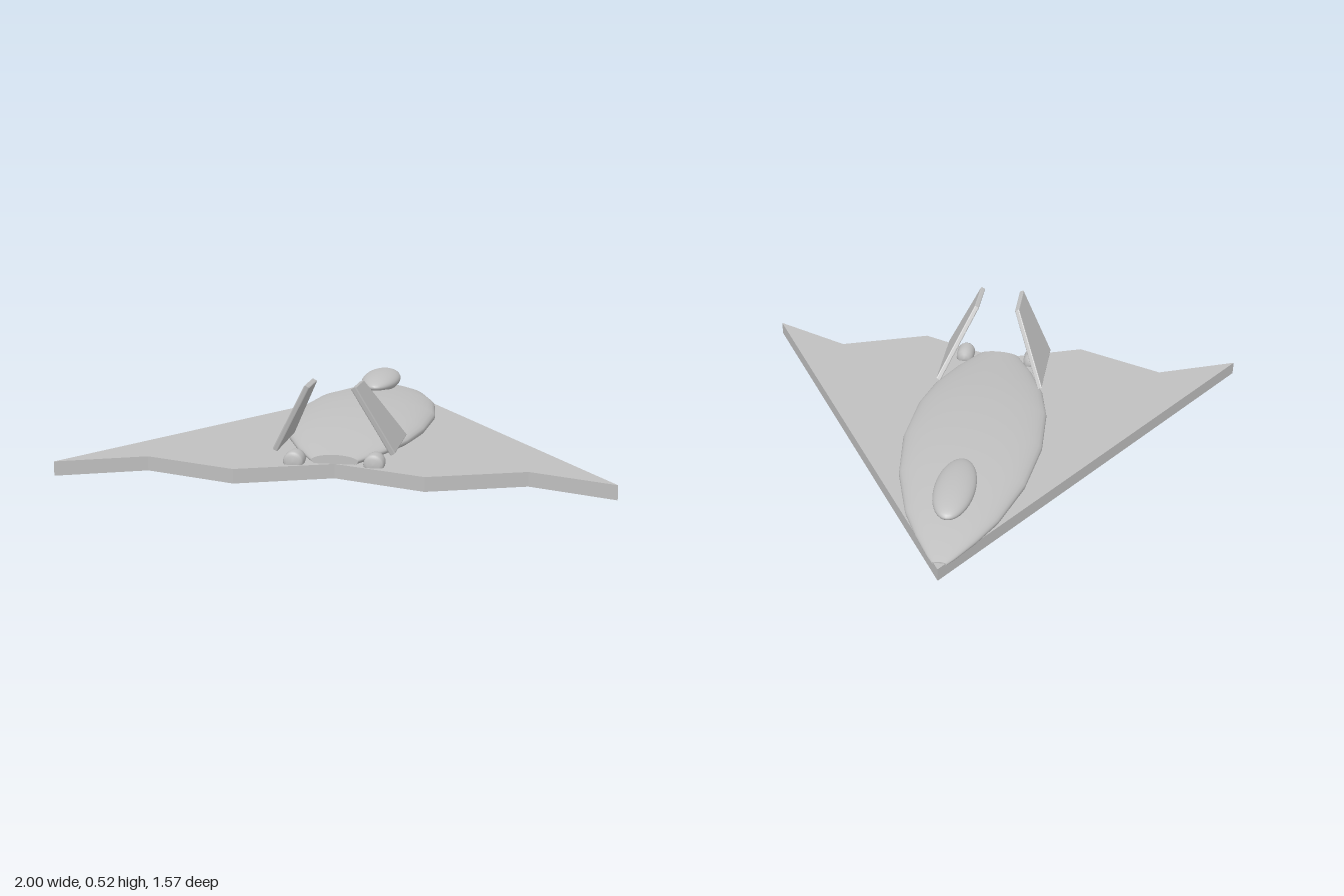
import * as THREE from 'three';

export function createModel() {
  const model = new THREE.Group();
  const grey = new THREE.MeshStandardMaterial({ color: 0xc0c0c0 });
  grey.name = 'hull grey';

  const add = (name, geometry, x = 0, y = 0, z = 0, parent = model) => {
    const mesh = new THREE.Mesh(geometry, grey);
    mesh.name = name;
    mesh.position.set(x, y, z);
    parent.add(mesh);
    return mesh;
  };
  const shapeOf = (points) => new THREE.Shape(points.map(([x, y]) => new THREE.Vector2(x, y)));

  // Flat delta wing with a sawtooth trailing edge, drawn in plan (x, z)
  const plan = [[0, -0.785], [1, 0.78], [0.69, 0.65], [0.34, 0.78], [0, 0.65],
    [-0.34, 0.78], [-0.69, 0.65], [-1, 0.78]];
  const wing = new THREE.ExtrudeGeometry(shapeOf(plan), { depth: 0.053, bevelEnabled: false });
  wing.rotateX(Math.PI / 2);
  add('wing', wing, 0, 0.219, 0);

  // Fuselage: elliptical sections [z, half width, centre y, half height]
  const stations = [
    [-0.75, 0.028, 0.217, 0.008], [-0.72, 0.05, 0.218, 0.016], [-0.62, 0.113, 0.225, 0.033],
    [-0.5, 0.176, 0.233, 0.046], [-0.28, 0.246, 0.244, 0.06], [-0.04, 0.277, 0.25, 0.063],
    [0.2, 0.264, 0.248, 0.057], [0.37, 0.225, 0.243, 0.046], [0.52, 0.16, 0.237, 0.034],
    [0.65, 0.085, 0.23, 0.022],
  ];
  const sides = 40, positions = [], indices = [];
  stations.forEach(([z, w, cy, h]) => {
    for (let i = 0; i < sides; i++) {
      const a = (i / sides) * Math.PI * 2;
      positions.push(w * Math.cos(a), cy + h * Math.sin(a), z);
    }
  });
  for (let s = 0; s < stations.length - 1; s++) {
    for (let i = 0; i < sides; i++) {
      const a = s * sides + i, b = s * sides + (i + 1) % sides;
      indices.push(a, b, b + sides, a, b + sides, a + sides);
    }
  }
  const hull = new THREE.BufferGeometry();
  hull.setAttribute('position', new THREE.Float32BufferAttribute(positions, 3));
  hull.setIndex(indices);
  hull.computeVertexNormals();
  add('fuselage', hull);

  // Flat end caps of the fuselage
  [stations[0], stations[stations.length - 1]].forEach(([z, w, cy, h], i) => {
    const cap = new THREE.CircleGeometry(1, sides).scale(w, h, 1);
    if (i === 0) cap.rotateY(Math.PI);
    add(i ? 'tailCap' : 'noseCap', cap, 0, cy, z);
  });

  // Canopy bubble
  add('canopy', new THREE.SphereGeometry(1, 40, 24).scale(0.078, 0.039, 0.186), 0, 0.315, -0.428);

  // Tail fins leaning inwards: outline in (z, height along the fin)
  const lean = Math.atan2(0.13, 0.245), slant = 1 / Math.cos(lean);
  const outline = [[0.37, 0], [0.67, 0], [0.73, 0.247 * slant], [0.575, 0.243 * slant]];
  const finGeometry = new THREE.ExtrudeGeometry(shapeOf(outline), {
    depth: 0.012, bevelEnabled: true, bevelThickness: 0.004, bevelSize: 0.004,
    bevelOffset: -0.004, bevelSegments: 2,
  });
  finGeometry.translate(0, 0, -0.006).rotateY(-Math.PI / 2);

  // Rounded engine nozzle, axis along z
  const nozzleGeometry = new THREE.LatheGeometry([
    [0, -0.045], [0.022, -0.042], [0.034, -0.03], [0.037, 0],
    [0.037, 0.03], [0.033, 0.04], [0.022, 0.045], [0, 0.046],
  ].map(([r, y]) => new THREE.Vector2(r, y)), 28).rotateX(Math.PI / 2);

  for (const side of [1, -1]) {
    const label = side > 0 ? 'left' : 'right';
    const fin = add(label + 'TailFin', finGeometry, side * 0.213, 0.266, 0);
    fin.rotation.z = side * lean;
    add(label + 'Engine', nozzleGeometry, side * 0.145, 0.228, 0.645);
  }

  // Landing gear: a strut and a lens-shaped wheel
  const addGear = (name, x, z, radius, width, centre) => {
    const gear = new THREE.Group();
    gear.name = name;
    gear.position.set(x, 0, z);
    model.add(gear);
    const top = 0.175;
    add('strut', new THREE.CylinderGeometry(0.01, 0.01, top - centre, 16), 0, (top + centre) / 2, 0, gear);
    const profile = [[0, -0.5], [0.35, -0.48], [0.7, -0.42], [1, -0.3],
      [1, 0.3], [0.7, 0.42], [0.35, 0.48], [0, 0.5]];
    const wheel = new THREE.LatheGeometry(
      profile.map(([r, y]) => new THREE.Vector2(r * radius, y * width)), 36).rotateZ(Math.PI / 2);
    add('wheel', wheel, 0, centre, 0, gear);
  };
  addGear('leftMainGear', 0.26, 0, 0.052, 0.042, 0.052);
  addGear('rightMainGear', -0.26, 0, 0.052, 0.042, 0.052);
  addGear('noseGear', 0, -0.515, 0.039, 0.03, 0.049);

  return model;
}
